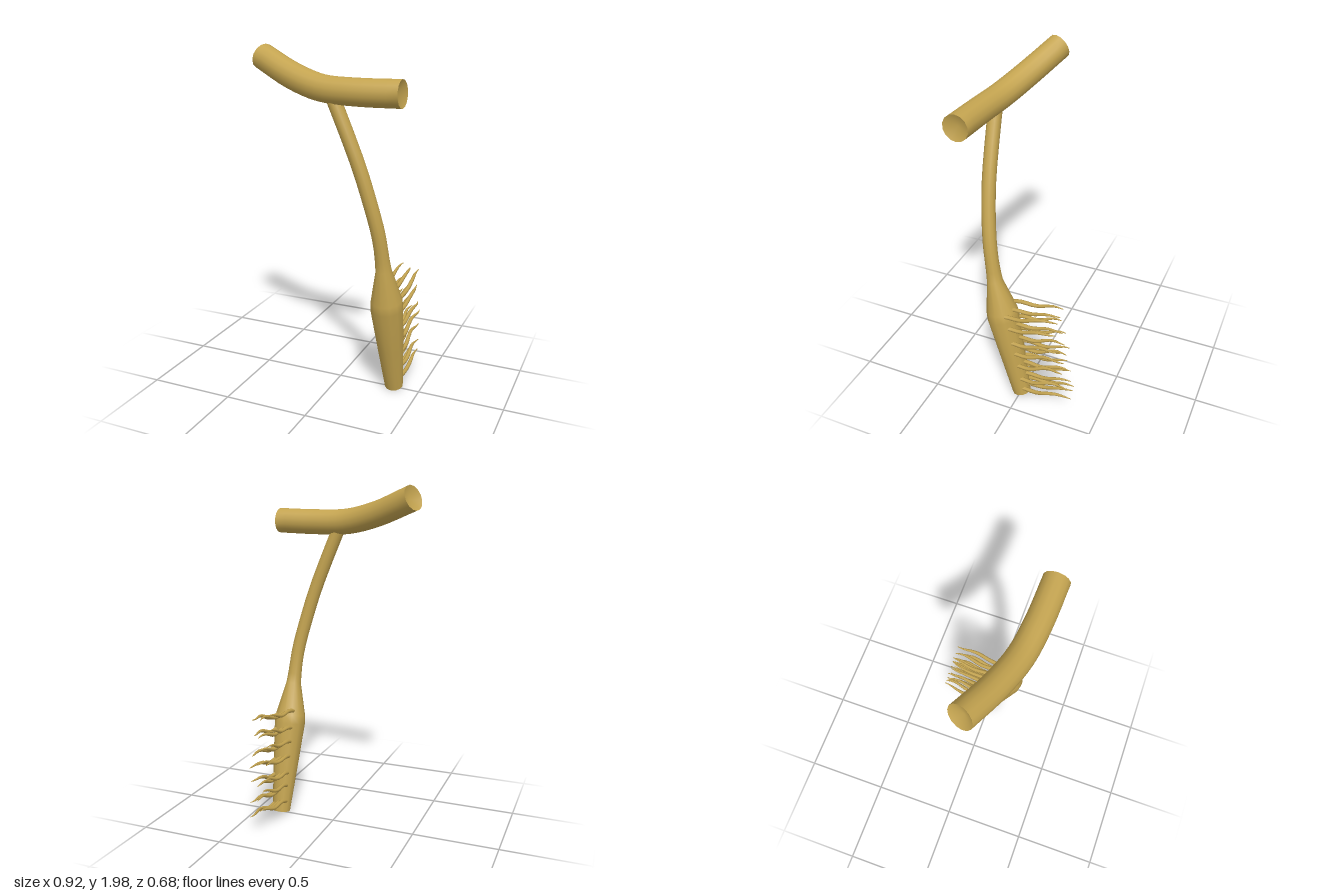
import * as THREE from 'three';

const wood = new THREE.MeshStandardMaterial({ color: 0xc4a450, side: THREE.DoubleSide });
wood.name = 'goldenWood';

// Round loft through rows of [x, y, z, radius]; the caps may be sunk inward.
function loft(name, rows, sides, sunk = 0) {
  const pts = rows.map(r => new THREE.Vector3(r[0], r[1], r[2]));
  const n = rows.length, pos = [], idx = [];
  const tangent = i => pts[Math.min(i + 1, n - 1)].clone().sub(pts[Math.max(i - 1, 0)]).normalize();
  const ref = Math.abs(tangent(0).y) > 0.7 ? new THREE.Vector3(0, 0, 1) : new THREE.Vector3(0, 1, 0);
  const ring = i => {
    const t = tangent(i);
    const u = ref.clone().addScaledVector(t, -ref.dot(t)).normalize();
    const v = t.clone().cross(u);
    for (let j = 0; j < sides; j++) {
      const a = (j / sides) * Math.PI * 2, r = rows[i][3];
      pos.push(...pts[i].clone().addScaledVector(u, Math.cos(a) * r).addScaledVector(v, Math.sin(a) * r).toArray());
    }
  };
  for (let i = 0; i < n; i++) ring(i);
  for (let i = 0; i < n - 1; i++) for (let j = 0; j < sides; j++) {
    const a = i * sides + j, b = i * sides + (j + 1) % sides;
    idx.push(a, b, a + sides, b, b + sides, a + sides);
  }
  // end caps with their own vertices, so the rims stay sharp
  for (const i of [0, n - 1]) {
    const start = pos.length / 3, sign = i === 0 ? 1 : -1;
    ring(i);
    pos.push(...pts[i].clone().addScaledVector(tangent(i), sign * sunk).toArray());
    for (let j = 0; j < sides; j++) {
      const a = start + j, b = start + (j + 1) % sides;
      idx.push(start + sides, ...(i === 0 ? [b, a] : [a, b]));
    }
  }
  const g = new THREE.BufferGeometry();
  g.setAttribute('position', new THREE.Float32BufferAttribute(pos, 3));
  g.setIndex(idx);
  g.computeVertexNormals();
  const mesh = new THREE.Mesh(g, wood);
  mesh.name = name;
  return mesh;
}

// Sample a smooth curve into loft rows of one radius.
function smoothRows(points, count, radius) {
  const curve = new THREE.CatmullRomCurve3(points.map(p => new THREE.Vector3(...p)));
  return curve.getPoints(count).map(p => [p.x, p.y, p.z, radius]);
}

export function createModel() {
  const model = new THREE.Group();
  model.name = 'brush';

  // curved crossbar grip
  model.add(loft('crossbar', smoothRows([
    [-0.43, 1.923, 0.09], [-0.2, 1.833, 0.18], [0, 1.783, 0.237], [0.2, 1.775, 0.262], [0.45, 1.779, 0.273],
  ], 16, 0.073), 14, 0.03));

  // bent stem
  const stem = smoothRows([
    [0.325, 0.8, 0.16], [0.305, 1.0, 0.19], [0.258, 1.2, 0.215], [0.197, 1.4, 0.232], [0.07, 1.72, 0.247], [0.057, 1.75, 0.248],
  ], 16, 0.039);
  stem[0][3] = 0.045;
  stem[1][3] = 0.041;
  // stem and swollen brush head in one piece
  model.add(loft('handle', [
    [0.345, 0.018, -0.003, 0.054], [0.338, 0.3, 0.055, 0.076], [0.331, 0.56, 0.111, 0.094],
    [0.33, 0.61, 0.12, 0.09], ...stem,
  ], 12, 0.01));

  // wavy bristles: three columns along the back of the head
  const bristles = new THREE.Group();
  bristles.name = 'bristles';
  [-1, 0, 1].forEach((col, c) => {
    for (let k = 0; k < 7; k++) {
      const y = 0.065 + k * 0.092 + [0.02, 0, -0.01][c] + 0.008 * Math.sin(k * 2.3 + c);
      const x = 0.341 + col * (0.036 + k * 0.003);
      const zBase = -0.035 + 0.15 * y + Math.abs(col) * 0.015;
      const zTip = -0.345 + 0.15 * y + Math.abs(col) * 0.012 * (k % 3);
      const rise = 0.065 + 0.012 * Math.sin(k * 1.7 + c * 2);
      const rows = [];
      for (let i = 0; i <= 10; i++) {
        const t = i / 10;
        rows.push([
          x + 0.008 * Math.sin(t * 8 + k + c * 2) * t + 0.008 * t,
          y + rise * t + 0.009 * Math.sin(t * 9 + c),
          zBase + (zTip - zBase) * t,
          0.0105 * (1 - t ** 3) + 0.002,
        ]);
      }
      bristles.add(loft('bristle', rows, 6));
    }
  });
  model.add(bristles);
  return model;
}
